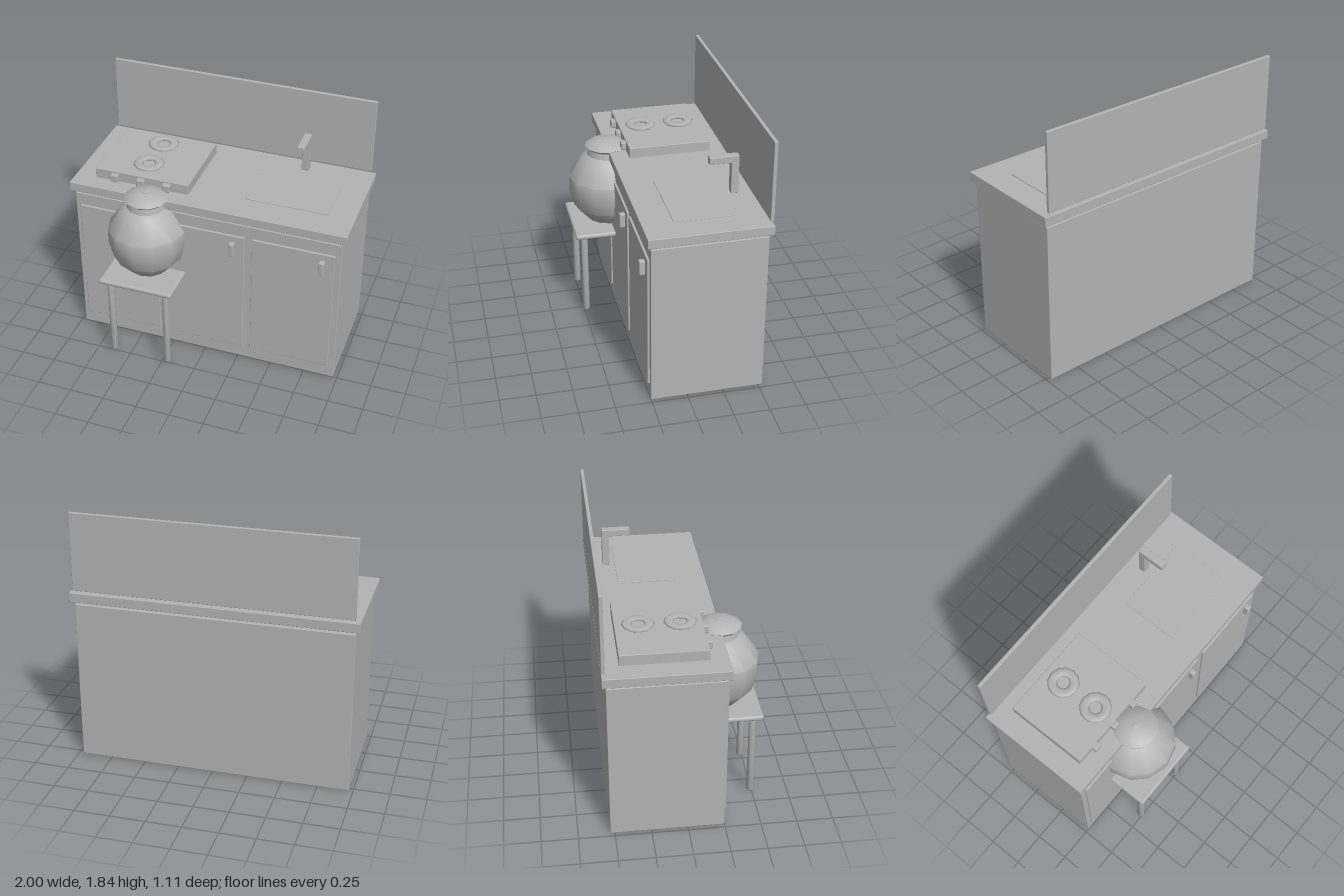
import * as THREE from 'three';
import { toCreasedNormals } from 'three/addons/utils/BufferGeometryUtils.js';
import { RoundedBoxGeometry } from 'three/addons/geometries/RoundedBoxGeometry.js';

const SIDES = 12;

export function createModel() {
  const model = new THREE.Group();
  model.name = 'kitchenCounter';
  const grey = new THREE.MeshStandardMaterial({ color: 0xb3b3b3 });
  grey.name = 'plainGrey';

  const add = (name, geometry, parent = model) => {
    const mesh = new THREE.Mesh(geometry, grey);
    mesh.name = name;
    parent.add(mesh);
    return mesh;
  };

  // Box given by its lower and upper limits on each axis, with softened edges
  const box = (name, [x0, x1], [y0, y1], [z0, z1], radius = 0.004, parent = model) => {
    const geometry = new RoundedBoxGeometry(x1 - x0, y1 - y0, z1 - z0, 2, radius);
    const mesh = add(name, geometry, parent);
    mesh.position.set((x0 + x1) / 2, (y0 + y1) / 2, (z0 + z1) / 2);
    return mesh;
  };

  // Turned part from [radius, height] pairs, bottom to top
  const turned = (name, profile, x, z, crease, sides = SIDES, parent = model) => {
    const points = profile.map(([r, y]) => new THREE.Vector2(r, y));
    const mesh = add(name, toCreasedNormals(new THREE.LatheGeometry(points, sides), crease), parent);
    mesh.position.set(x, 0, z);
    return mesh;
  };

  // Cabinet, worktop and splashback
  box('cabinet', [-0.97, 0.97], [0, 1.168], [-0.53, 0.25]);
  box('worktop', [-1, 1], [1.193, 1.26], [-0.555, 0.275]);
  box('splashback', [-0.97, 0.97], [1.28, 1.835], [-0.555, -0.53]);

  // Three doors, each with a handle near its right edge
  for (const x of [-0.641, -0.003, 0.636]) {
    box('door', [x - 0.292, x + 0.292], [0.107, 1.075], [0.24, 0.265]);
    box('handle', [x + 0.187, x + 0.227], [0.923, 1.028], [0.26, 0.303], 0.008);
  }

  // Hob with two burner rings and three knobs
  const hob = new THREE.Group();
  hob.name = 'hob';
  model.add(hob);
  box('hobBody', [-0.85, -0.158], [1.255, 1.335], [-0.435, 0.15], 0.004, hob);
  for (const z of [-0.28, 0]) {
    const ring = new THREE.TorusGeometry(0.076, 0.034, 8, SIDES);
    ring.rotateX(Math.PI / 2);
    ring.scale(1, 0.37, 1);
    add('burner', ring, hob).position.set(-0.505, 1.357, z);
  }
  for (const x of [-0.698, -0.505, -0.312]) {
    box('knob', [x - 0.028, x + 0.028], [1.266, 1.323], [0.14, 0.185], 0.008, hob);
  }

  // Sink panel and angled tap
  box('sink', [0.235, 0.815], [1.255, 1.266], [-0.35, 0.067], 0.002);
  const tap = new THREE.Group();
  tap.name = 'tap';
  model.add(tap);
  box('tapPost', [0.496, 0.55], [1.28, 1.555], [-0.44, -0.388], 0.004, tap);
  box('tapSpout', [0.496, 0.55], [1.505, 1.555], [-0.44, -0.238], 0.004, tap);

  // Stool
  const stool = new THREE.Group();
  stool.name = 'stool';
  model.add(stool);
  box('seat', [-0.693, -0.147], [0.64, 0.678], [0.005, 0.553], 0.017, stool);
  for (const x of [-0.628, -0.212]) {
    for (const z of [0.07, 0.487]) {
      turned('stoolLeg', [[0, 0.005], [0.017, 0.005], [0.026, 0.018], [0.026, 0.65]],
        x, z, 0.85, 8, stool);
    }
  }

  // Pot standing on the stool
  const pot = new THREE.Group();
  pot.name = 'pot';
  model.add(pot);
  turned('potBody', [
    [0, 0.684], [0.145, 0.684], [0.245, 0.797], [0.276, 0.92], [0.276, 1.027],
    [0.18, 1.172], [0.138, 1.198], [0.126, 1.25],
  ], -0.42, 0.275, 0.6, SIDES, pot);
  turned('potLid', [
    [0, 1.235], [0.125, 1.238], [0.153, 1.264], [0.12, 1.287], [0.068, 1.308], [0, 1.312],
  ], -0.42, 0.275, 0.7, SIDES, pot);
  turned('lidKnob', [[0.028, 1.3], [0.028, 1.313], [0.016, 1.317], [0, 1.317]],
    -0.42, 0.275, 0.85, 8, pot);

  return model;
}
